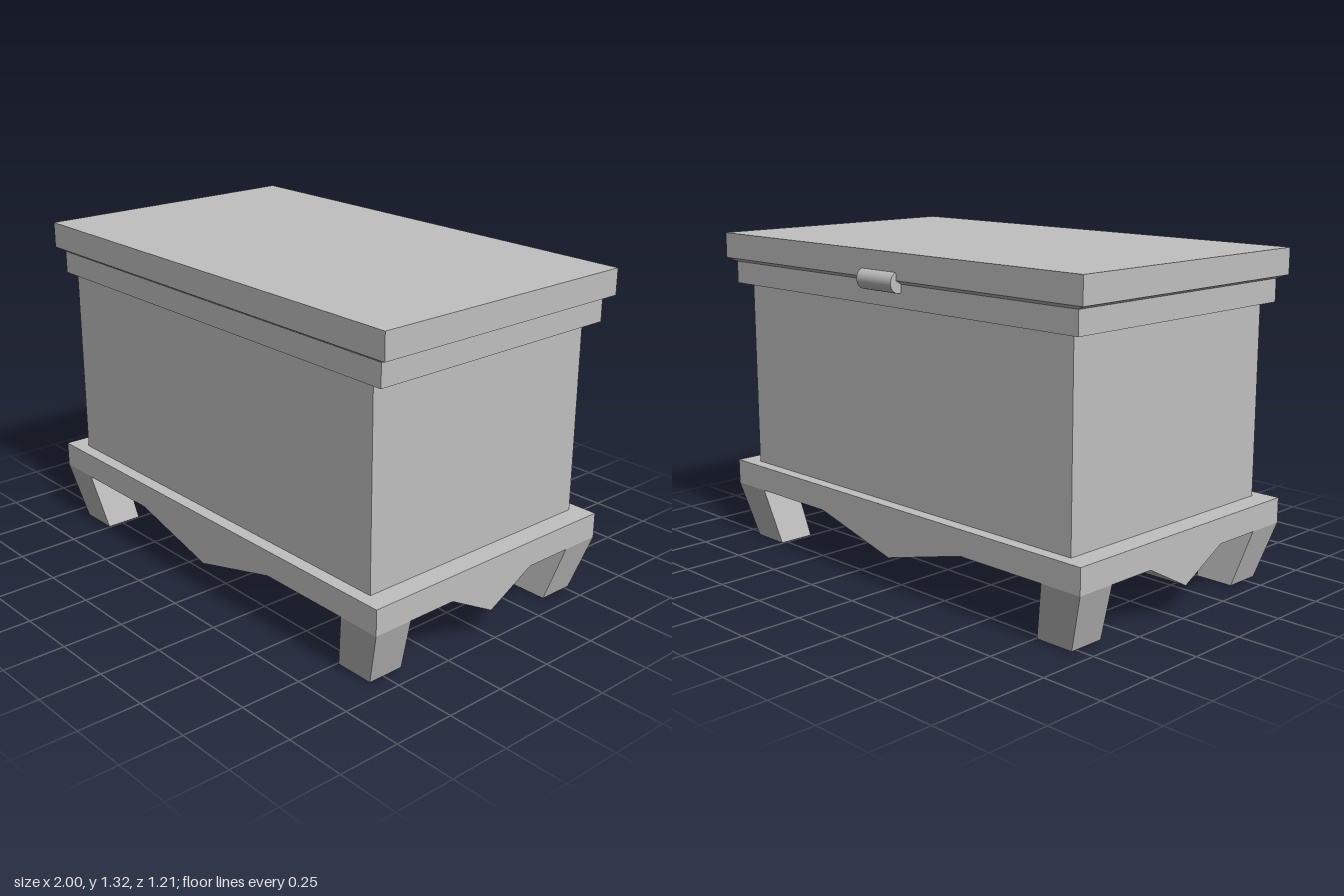
import * as THREE from 'three';

const grey = new THREE.MeshStandardMaterial({ color: 0xc0c0c0 });
grey.name = 'plain grey';

export function createModel() {
  const chest = new THREE.Group();
  chest.name = 'chest';

  const add = (name, geometry) => {
    const mesh = new THREE.Mesh(geometry, grey);
    mesh.name = name;
    chest.add(mesh);
    return mesh;
  };

  // Six-sided block between a bottom and a top rectangle, each [x0, x1, z0, z1]
  const block = (name, bottom, y0, top, y1) => {
    const g = new THREE.BoxGeometry(1, 1, 1).toNonIndexed();
    const p = g.attributes.position;
    for (let i = 0; i < p.count; i++) {
      const high = p.getY(i) > 0;
      const r = high ? top : bottom;
      p.setXYZ(i, p.getX(i) > 0 ? r[1] : r[0], high ? y1 : y0, p.getZ(i) > 0 ? r[3] : r[2]);
    }
    g.computeVertexNormals();
    return add(name, g);
  };

  // Plinth slab with a pointed drop in the middle of its lower edge, extruded to depth
  const apron = (a, b, half, mid, low, depth) => {
    const s = new THREE.Shape();
    s.moveTo(a, 0.335);
    s.lineTo(a, 0.232);
    s.lineTo(mid - half, 0.232);
    s.lineTo(mid, low);
    s.lineTo(mid + half, 0.232);
    s.lineTo(b, 0.232);
    s.lineTo(b, 0.335);
    return new THREE.ExtrudeGeometry(s, { depth, bevelEnabled: false });
  };

  // Crossing plinth profiles: one runs front to back, the other side to side
  add('plinthFrontToBack', apron(-0.993, 0.993, 0.405, 0, 0.127, 1.173).translate(0, 0, -0.565));
  add('plinthSideToSide', apron(-0.565, 0.608, 0.21, 0.0215, 0.12, 1.986)
    .translate(0, 0, -0.993).rotateY(-Math.PI / 2));

  // Slanting legs, mirrored left and right
  for (const side of [-1, 1]) {
    const span = (inner, outer) => (side > 0 ? [inner, outer] : [-outer, -inner]);
    const label = side > 0 ? 'Left' : 'Right';
    const foot = span(0.755, 0.92);
    const hip = span(0.812, 0.993);
    block('front' + label + 'Leg', [...foot, 0.412, 0.565], 0, [...hip, 0.442, 0.608], 0.232);
    block('back' + label + 'Leg', [...foot, -0.522, -0.369], 0, [...hip, -0.565, -0.399], 0.232);
  }

  // Body and collar
  const body = [-0.905, 0.905, -0.515, 0.555];
  block('body', body, 0.335, body, 1.112);
  const collar = [-0.96, 0.96, -0.555, 0.573];
  block('collar', collar, 1.112, collar, 1.203);

  // Lid with a sloping underside
  const lid = [-1, 1, -0.58, 0.597];
  block('lidUnderside', collar, 1.203, lid, 1.218);
  block('lid', lid, 1.218, lid, 1.322);

  // Hinge barrel at the back
  add('hinge', new THREE.CylinderGeometry(0.041, 0.041, 0.195, 32).rotateZ(Math.PI / 2))
    .position.set(0.01, 1.21, -0.566);

  return chest;
}
